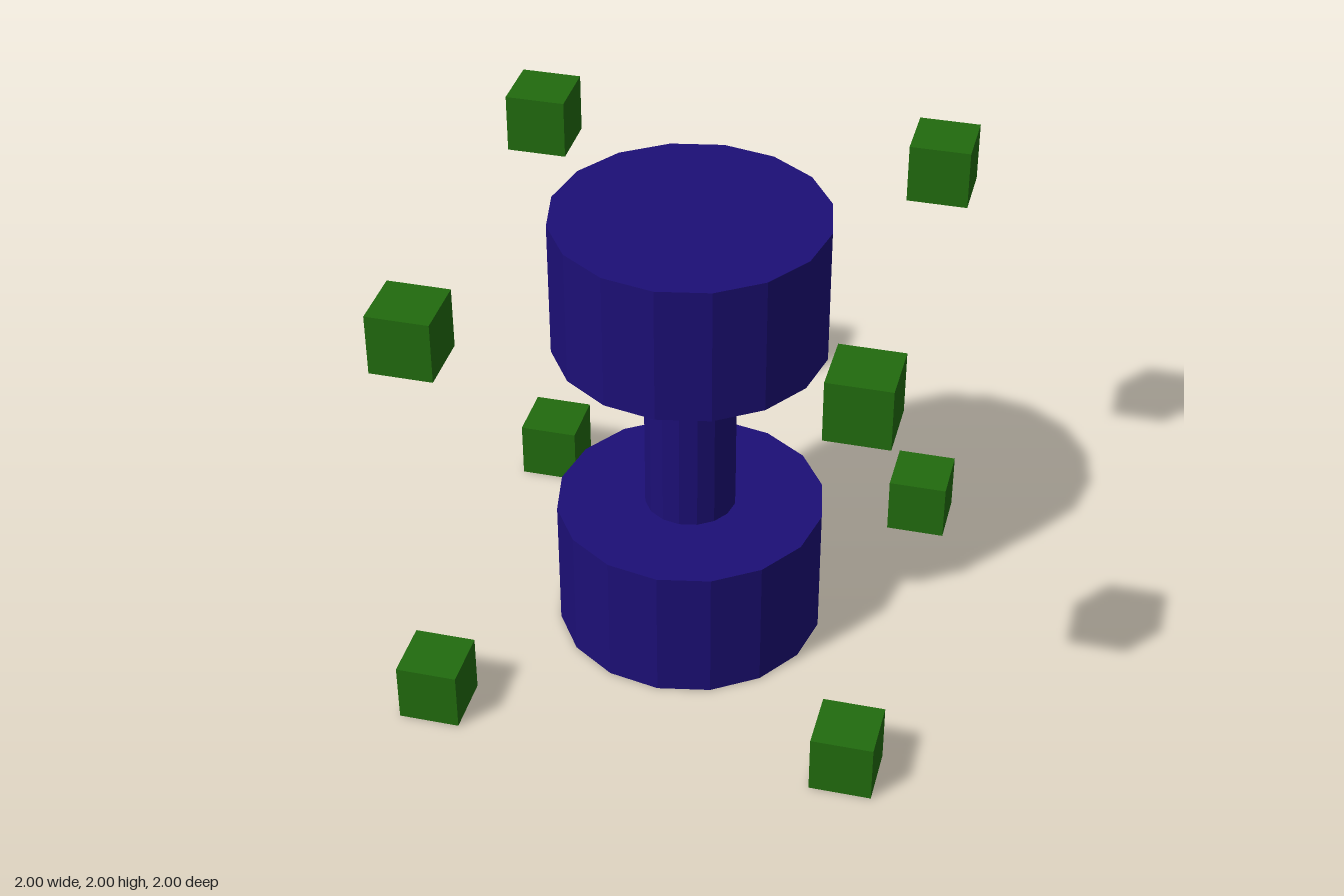
import * as THREE from 'three';

export function createModel() {
  const model = new THREE.Group();
  const indigo = new THREE.MeshStandardMaterial({ color: 0x1c0f76, flatShading: true });
  const green = new THREE.MeshStandardMaterial({ color: 0x216b0e, flatShading: true });

  const add = (name, geometry, material, x, y, z) => {
    const mesh = new THREE.Mesh(geometry, material);
    mesh.name = name;
    mesh.position.set(x, y, z);
    model.add(mesh);
  };

  // Spool: two wide drums joined by a slim shaft, all 16-sided
  const drumRadius = 0.573, drumHeight = 0.595, sides = 16;
  const drum = new THREE.CylinderGeometry(drumRadius, drumRadius, drumHeight, sides);
  add('lowerDrum', drum, indigo, 0, drumHeight / 2, 0);
  add('upperDrum', drum, indigo, 0, 2 - drumHeight / 2, 0);
  const shaft = new THREE.CylinderGeometry(0.195, 0.195, 2 - 2 * drumHeight, sides, 1, true);
  add('shaft', shaft, indigo, 0, 1, 0);

  // Small cubes at the eight corners of the bounding cube
  const size = 0.256, offset = 1 - size / 2;
  const cube = new THREE.BoxGeometry(size, size, size);
  for (const [yName, sy] of [['lower', -1], ['upper', 1]])
    for (const [zName, sz] of [['Front', 1], ['Back', -1]])
      for (const [xName, sx] of [['Left', 1], ['Right', -1]])
        add(`${yName}${zName}${xName}Cube`, cube, green, sx * offset, 1 + sy * offset, sz * offset);

  return model;
}
